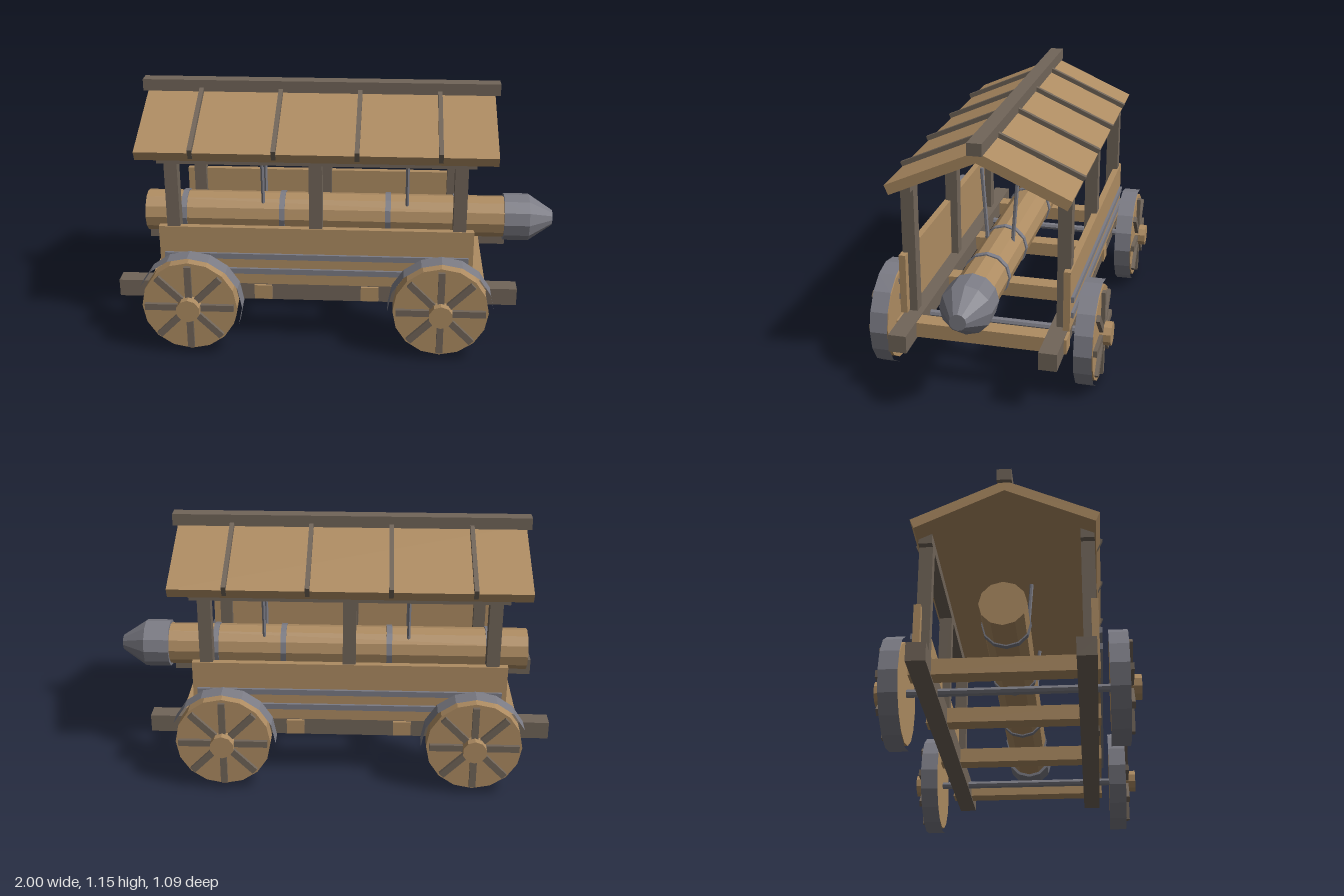
import * as THREE from 'three';

const mat = (name, color) => {
  const m = new THREE.MeshStandardMaterial({ color, flatShading: true });
  m.name = name;
  return m;
};

export function createModel() {
  const wood = mat('light wood', 0xae8c62);
  const dark = mat('dark wood', 0x716559);
  const iron = mat('iron', 0x7b7b84);
  const root = new THREE.Group();
  root.name = 'batteringRam';

  const add = (name, geo, material, parent = root) => {
    const m = new THREE.Mesh(geo, material);
    m.name = name;
    parent.add(m);
    return m;
  };
  // Box given by its min and max on each axis
  const box = (name, material, x0, x1, y0, y1, z0, z1, parent) => {
    const g = new THREE.BoxGeometry(x1 - x0, y1 - y0, z1 - z0);
    g.translate((x0 + x1) / 2, (y0 + y1) / 2, (z0 + z1) / 2);
    return add(name, g, material, parent);
  };
  // Gable section of [z, y] points for one half, mirrored and extruded along x
  const gable = (name, material, half, x0, x1) => {
    const pts = [...half, ...half.slice(1, -1).reverse().map(([z, y]) => [-z, y])];
    const shape = new THREE.Shape(pts.map(([z, y]) => new THREE.Vector2(z, y)));
    const g = new THREE.ExtrudeGeometry(shape, { depth: x1 - x0, bevelEnabled: false });
    g.rotateY(Math.PI / 2).translate(x0, 0, 0);
    return add(name, g, material);
  };
  // Cylinder along x at the ram's height, r1 at the +x end
  const ramPart = (name, material, r0, r1, x0, x1) => {
    const g = new THREE.CylinderGeometry(r1, r0, x1 - x0, 12);
    g.rotateZ(-Math.PI / 2).translate((x0 + x1) / 2, 0.497, 0);
    return add(name, g, material);
  };

  // Chassis cross beams
  for (const x of [-0.82, -0.335, 0.15, 0.635])
    box('crossBeam', wood, x - 0.04, x + 0.04, 0.225, 0.293, -0.38, 0.38);

  // Parts repeated on both sides
  for (const s of [1, -1]) {
    const sideBox = (name, material, x0, x1, y0, y1, z0, z1) =>
      box(name, material, x0, x1, y0, y1, s > 0 ? z0 : -z1, s > 0 ? z1 : -z0);
    sideBox('chassisRail', dark, -1, 0.815, 0.218, 0.298, 0.288, 0.368);
    sideBox('sidePanel', wood, -0.797, 0.61, 0.302, 0.578, 0.35, 0.38);
    for (const y of [0.442, 0.369])
      sideBox('panelStrip', iron, -0.775, 0.59, y - 0.013, y + 0.013, 0.378, 0.392);
    for (const x of [-0.73, -0.093, 0.545])
      sideBox('post', dark, x - 0.029, x + 0.029, 0.27, 0.88, 0.315, 0.374);
    sideBox('topPlate', dark, -0.79, 0.61, 0.876, 0.925, 0.315, 0.374);

    // Hanging rods for the ram
    for (const x of [-0.365, 0.315]) {
      const a = new THREE.Vector3(x, 0.565, s * 0.058), b = new THREE.Vector3(x, 0.902, s * 0.083);
      const rod = add('hangingRod', new THREE.CylinderGeometry(0.009, 0.009, a.distanceTo(b), 6), iron);
      rod.position.copy(a).lerp(b, 0.5);
      rod.quaternion.setFromUnitVectors(new THREE.Vector3(0, 1, 0), b.sub(a).normalize());
    }
  }

  // Roof
  gable('roof', wood, [[0, 1.064], [0.38, 0.893], [0.398, 0.935], [0, 1.112]], -0.885, 0.702);
  for (const x of [-0.637, -0.273, 0.09, 0.452])
    gable('roofRib', dark, [[0, 1.08], [0.387, 0.905], [0.409, 0.953], [0, 1.134]], x - 0.01, x + 0.01);
  box('ridgeBeam', dark, -0.907, 0.725, 1.102, 1.156, -0.032, 0.032);

  // Ram with iron bands and head
  ramPart('ramLog', wood, 0.098, 0.098, -0.925, 0.772);
  for (const x of [-0.74, -0.275, 0.225, 0.545])
    ramPart('ramBand', iron, 0.104, 0.104, x - 0.013, x + 0.013);
  ramPart('ramHead', iron, 0.112, 0.112, 0.77, 0.887);
  ramPart('ramTip', iron, 0.112, 0.036, 0.887, 1);

  // Wheels and axles
  const wheelY = 0.238;
  const disc = (r, z0, z1, sides, open = false) =>
    new THREE.CylinderGeometry(r, r, z1 - z0, sides, 1, open)
      .rotateX(Math.PI / 2).translate(0, 0, (z0 + z1) / 2);
  for (const x of [-0.655, 0.469]) {
    add('axle', disc(0.018, -0.45, 0.45, 8), iron).position.set(x, wheelY, 0);
    for (const s of [1, -1]) {
      const wheel = new THREE.Group();
      wheel.name = 'wheel';
      wheel.position.set(x, wheelY, 0);
      if (s < 0) wheel.rotation.y = Math.PI;
      root.add(wheel);
      add('tyre', disc(0.237, 0.414, 0.494, 16, true), iron, wheel);
      add('wheelDisc', disc(0.214, 0.418, 0.494, 16), wood, wheel);
      add('hub', disc(0.054, 0.49, 0.545, 10), wood, wheel);
      for (let i = 0; i < 8; i++)
        box('spoke', dark, 0.04, 0.2, -0.015, 0.015, 0.49, 0.511, wheel).rotation.z = i * Math.PI / 4;
    }
  }
  return root;
}
